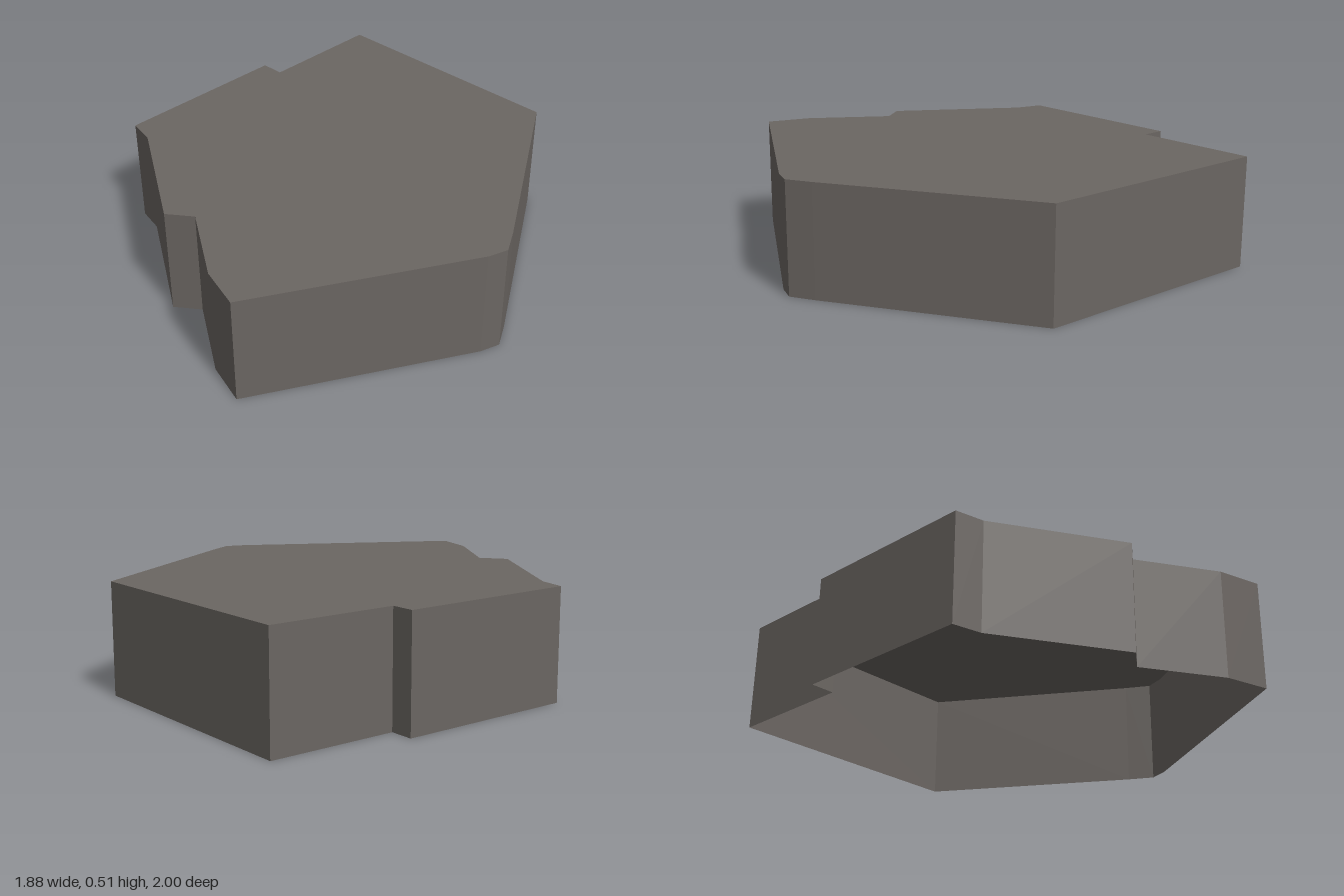
import * as THREE from 'three';

const HEIGHT = 0.51;

// Footprint as [x, z], starting at the back and running round the +x side
const OUTLINE = [
  [-0.83, -1], [0.35, -1], [0.88, -0.13], [0.94, -0.02], [0.91, 0.07],
  [0.38, 1], [0.18, 0.94], [-0.16, 0.72], [-0.27, 0.8], [-0.81, 0.46],
  [-0.94, 0.43], [-0.94, -0.41], [-0.83, -0.41],
];

// Flat roof filling the footprint
function roofGeometry() {
  const shape = new THREE.Shape(OUTLINE.map(([x, z]) => new THREE.Vector2(x, -z)));
  return new THREE.ShapeGeometry(shape).rotateX(-Math.PI / 2).translate(0, HEIGHT, 0);
}

// One upright quad per footprint edge, each facing outward
function wallGeometry() {
  const positions = [];
  OUTLINE.forEach(([ax, az], i) => {
    const [bx, bz] = OUTLINE[(i + 1) % OUTLINE.length];
    positions.push(bx, 0, bz, ax, 0, az, ax, HEIGHT, az);
    positions.push(bx, 0, bz, ax, HEIGHT, az, bx, HEIGHT, bz);
  });
  const geometry = new THREE.BufferGeometry();
  geometry.setAttribute('position', new THREE.Float32BufferAttribute(positions, 3));
  geometry.computeVertexNormals();
  return geometry;
}

export function createModel() {
  const stone = new THREE.MeshStandardMaterial({ color: 0x6b6662, side: THREE.DoubleSide });
  stone.name = 'warmGrey';

  const group = new THREE.Group();
  group.name = 'building';

  const roof = new THREE.Mesh(roofGeometry(), stone);
  roof.name = 'roof';

  // The shell is open underneath
  const walls = new THREE.Mesh(wallGeometry(), stone);
  walls.name = 'walls';

  group.add(roof, walls);
  return group;
}
